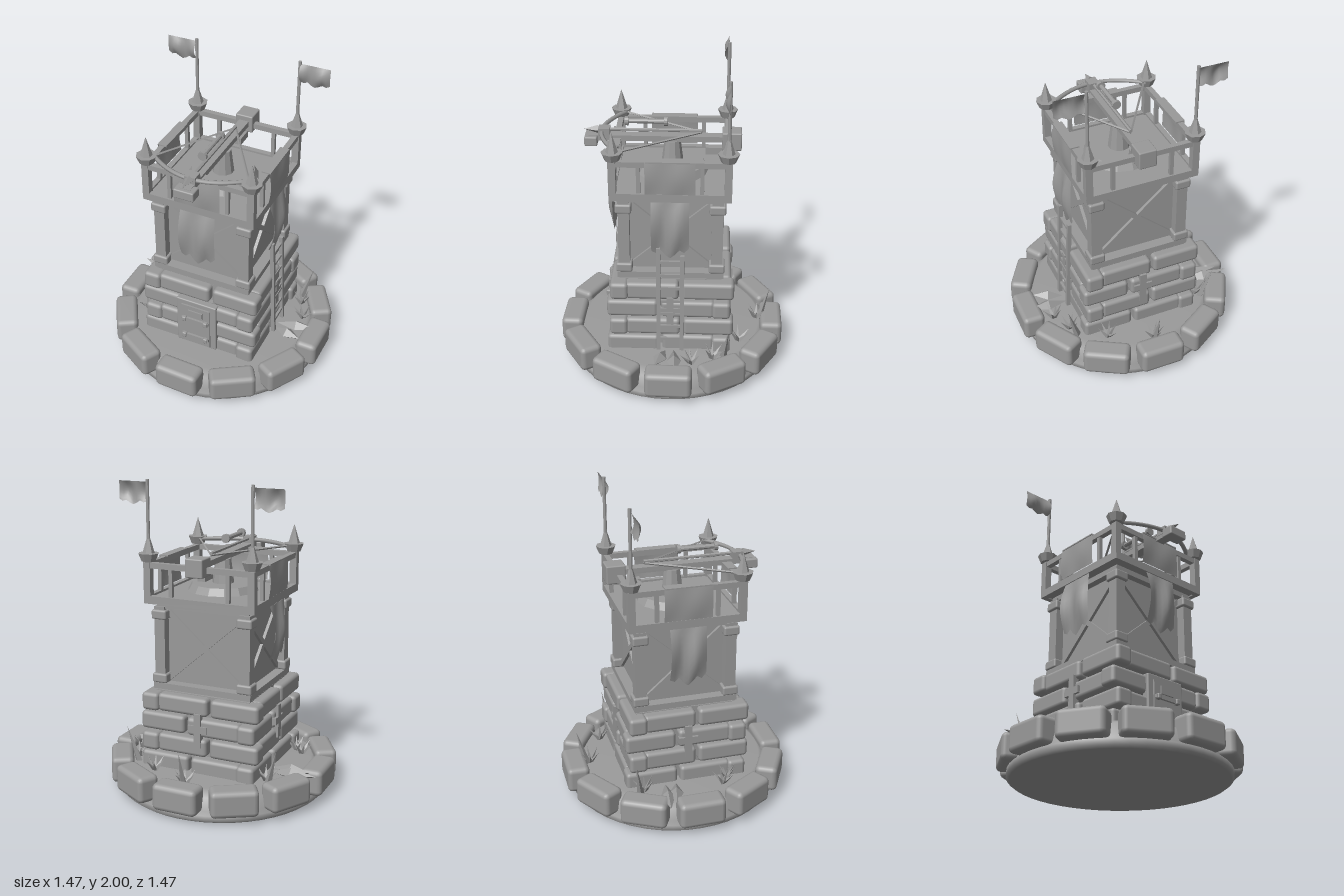
import * as THREE from 'three';
import { RoundedBoxGeometry } from 'three/addons/geometries/RoundedBoxGeometry.js';

const grey = new THREE.MeshStandardMaterial({ color: 0x9a9a9a, side: THREE.DoubleSide });
grey.name = 'stoneGrey';

let seed = 7;
const rnd = () => (seed = (seed * 16807) % 2147483647) / 2147483647;
const jit = (a) => (rnd() - 0.5) * a;

function add(parent, name, geo, x = 0, y = 0, z = 0) {
  const m = new THREE.Mesh(geo, grey);
  m.name = name;
  m.position.set(x, y, z);
  parent.add(m);
  return m;
}
const group = (parent, name) => {
  const g = new THREE.Group();
  g.name = name;
  parent.add(g);
  return g;
};
const flat = (geo) => {
  const g = geo.index ? geo.toNonIndexed() : geo;
  g.computeVertexNormals();
  return g;
};
const box = (p, n, w, h, d, x, y, z) => add(p, n, new THREE.BoxGeometry(w, h, d), x, y, z);
const stone = (p, n, w, h, d, x, y, z, r = 0.02) => add(p, n, new RoundedBoxGeometry(w, h, d, 2, r), x, y, z);
const cyl = (p, n, r1, r2, h, s, x, y, z) => add(p, n, flat(new THREE.CylinderGeometry(r1, r2, h, s)), x, y, z);

// Square or round bar between two points
function bar(p, n, a, b, w, d = w) {
  const va = new THREE.Vector3(...a), vb = new THREE.Vector3(...b);
  const m = add(p, n, new THREE.BoxGeometry(w, va.distanceTo(vb), d));
  m.position.copy(va).add(vb).multiplyScalar(0.5);
  m.quaternion.setFromUnitVectors(new THREE.Vector3(0, 1, 0), vb.sub(va).normalize());
  return m;
}

// Hanging cloth: top edge at y = 0, waved toward +z, ragged bottom edge
function cloth(w, h, bulge, tear) {
  const g = new THREE.PlaneGeometry(w, h, 8, 8);
  const pos = g.attributes.position;
  const rag = [0.3, 0.5, 0.15, 0.7, 1, 0.65, 0.2, 0.45, 0];
  for (let i = 0; i < pos.count; i++) {
    const u = pos.getX(i) / w + 0.5, v = 0.5 - pos.getY(i) / h;
    const edge = h - tear * (1 - rag[Math.round(u * 8)]);
    pos.setXYZ(i, pos.getX(i), -v * edge, bulge * Math.sin(v * Math.PI) * (0.6 + 0.4 * Math.cos(u * 9)));
  }
  g.computeVertexNormals();
  return g;
}

function buildBase(root) {
  const base = group(root, 'base');
  const pts = [[0, 0], [0.66, 0], [0.68, 0.015], [0.68, 0.05], [0.655, 0.07], [0.64, 0.15], [0.58, 0.185], [0, 0.19]];
  add(base, 'groundDisc', new THREE.LatheGeometry(pts.map(([x, y]) => new THREE.Vector2(x, y)), 48));
  for (let i = 0; i < 12; i++) {
    const a = (i * Math.PI) / 6;
    const s = stone(base, 'ringStone', 0.295, 0.17, 0.145, 0.66 * Math.sin(a), 0.142, 0.66 * Math.cos(a), 0.032);
    s.rotation.y = a + jit(0.06);
  }
}

// Interlocked stone courses, mirrored on every other row
function buildStonework(root) {
  const g = group(root, 'stoneWalls');
  box(g, 'wallCore', 0.64, 0.52, 0.64, 0, 0.42, 0);
  for (let row = 0; row < 4; row++) {
    const y = 0.222 + row * 0.132, s = row % 2 ? 1 : -1;
    for (let k = 0; k < 4; k++) {
      const side = group(g, 'stoneCourse');
      side.rotation.y = (k * Math.PI) / 2;
      const split = s * 0.07 + jit(0.04);
      const a = s * 0.4, b = -s * 0.28;
      for (const [p, q] of [[a, split + s * 0.01], [split - s * 0.01, b]])
        stone(side, 'wallStone', Math.abs(p - q), 0.116, 0.115, (p + q) / 2, y, 0.325 + jit(0.012), 0.024);
    }
  }
  // Cross-shaped slits on the three walls without a door
  for (let k = 1; k < 4; k++) {
    const slit = group(g, 'crossSlit');
    slit.rotation.y = (k * Math.PI) / 2;
    box(slit, 'slitUpright', 0.045, 0.22, 0.04, 0, 0.47, 0.375);
    box(slit, 'slitBar', 0.125, 0.045, 0.04, 0, 0.48, 0.375);
  }
}

function buildDoor(root) {
  const d = group(root, 'door');
  stone(d, 'doorFrame', 0.28, 0.36, 0.05, -0.005, 0.37, 0.375, 0.008);
  box(d, 'doorPanel', 0.2, 0.31, 0.02, -0.005, 0.36, 0.4);
  box(d, 'doorHatch', 0.1, 0.05, 0.012, -0.005, 0.46, 0.413);
  for (const y of [0.27, 0.41]) {
    box(d, 'doorStrap', 0.19, 0.022, 0.02, -0.005, y, 0.415);
    for (const x of [-0.08, 0.07]) stone(d, 'strapKnob', 0.03, 0.036, 0.03, x, y, 0.42, 0.008);
  }
}

function buildTimber(root) {
  const g = group(root, 'timberStorey');
  box(g, 'innerWalls', 0.53, 0.54, 0.53, 0, 0.97, 0);
  box(g, 'footBeam', 0.66, 0.04, 0.66, 0, 0.71, 0);
  box(g, 'headBeam', 0.62, 0.035, 0.62, 0, 1.225, 0);
  for (const x of [-1, 1]) for (const z of [-1, 1]) {
    box(g, 'cornerPost', 0.07, 0.5, 0.07, x * 0.287, 0.97, z * 0.287);
    for (const y of [0.76, 1.17]) stone(g, 'postCollar', 0.1, 0.06, 0.1, x * 0.287, y, z * 0.287, 0.012);
  }
  for (let k = 0; k < 4; k++) {
    const s = group(g, 'crossBrace');
    s.rotation.y = (k * Math.PI) / 2;
    for (const m of [-1, 1]) bar(s, 'brace', [-m * 0.25, 0.75, 0.272], [m * 0.25, 1.19, 0.272], 0.032, 0.025);
  }
}

function buildPlatform(root) {
  const g = group(root, 'platform');
  box(g, 'floor', 0.69, 0.03, 0.69, 0, 1.265, 0);
  for (let k = 0; k < 4; k++) {
    const s = group(g, 'railing');
    s.rotation.y = (k * Math.PI) / 2;
    box(s, 'floorEdge', 0.73, 0.05, 0.035, 0, 1.268, 0.35);
    box(s, 'topRail', 0.68, 0.035, 0.035, 0, 1.482, 0.345);
    box(s, 'cornerUpright', 0.045, 0.22, 0.045, 0.345, 1.39, 0.345);
    for (const x of [-0.19, 0.19]) box(s, 'railPost', 0.024, 0.19, 0.024, x, 1.38, 0.345);
  }
  // Corner cups with spikes; the two at the back carry flags
  for (const x of [-1, 1]) for (const z of [-1, 1]) {
    const c = group(g, 'cornerFinial');
    c.position.set(x * 0.342, 0, z * 0.342);
    cyl(c, 'cup', 0.065, 0.045, 0.05, 8, 0, 1.53, 0);
    cyl(c, 'spike', 0, 0.038, 0.125, 6, 0, 1.617, 0);
    if (z > 0) continue;
    cyl(c, 'flagPole', 0.011, 0.011, 0.44, 8, 0, 1.78, 0);
    const f = add(c, 'flag', cloth(0.19, 0.14, 0.03, 0.03), x * 0.1, 1.985, 0);
    f.scale.x = x;
  }
  // Cloth over the rail and a long banner on front and both sides
  for (const k of [-1, 0, 1]) {
    const s = group(g, 'bannerSet');
    s.rotation.y = (k * Math.PI) / 2;
    add(s, 'railCloth', cloth(0.3, 0.21, 0.012, 0), 0, 1.505, 0.37);
    box(s, 'railClothFold', 0.29, 0.008, 0.06, 0, 1.503, 0.345);
    add(s, 'banner', cloth(0.23, 0.385, 0.04, 0.07), 0, 1.24, 0.365);
  }
}

function buildLadder(root) {
  const g = group(root, 'ladder');
  for (const [z, top] of [[0.073, 0.93], [-0.075, 0.88]])
    bar(g, 'ladderRail', [0.405, 0.2, z], [0.375, top, z], 0.025);
  for (let i = 0; i < 7; i++) box(g, 'rung', 0.016, 0.018, 0.17, 0.4 - i * 0.004, 0.28 + i * 0.092, 0);
}

function buildBallista(root) {
  const g = group(root, 'ballista');
  cyl(g, 'turntable', 0.2, 0.225, 0.045, 14, 0, 1.315, 0);
  cyl(g, 'pivot', 0.05, 0.07, 0.16, 10, 0, 1.41, 0);
  box(g, 'stock', 0.065, 0.035, 0.9, 0, 1.505, 0.065);
  stone(g, 'rearBlock', 0.115, 0.115, 0.12, 0, 1.5, -0.365, 0.008);
  box(g, 'rearHandle', 0.05, 0.045, 0.11, 0, 1.425, -0.26);
  stone(g, 'frontBlock', 0.13, 0.06, 0.08, 0, 1.49, 0.5, 0.008);
  box(g, 'bowMount', 0.07, 0.05, 0.07, 0, 1.54, 0.42);
  const arc = new THREE.QuadraticBezierCurve3(
    new THREE.Vector3(-0.32, 1.54, 0.3), new THREE.Vector3(0, 1.54, 0.57), new THREE.Vector3(0.32, 1.54, 0.3));
  add(g, 'bow', new THREE.TubeGeometry(arc, 20, 0.014, 6));
  for (const x of [-1, 1]) bar(g, 'bowString', [0, 1.54, -0.18], [x * 0.31, 1.54, 0.31], 0.01);
  // Bolt with a pointed head
  const shaft = cyl(g, 'boltShaft', 0.011, 0.011, 0.64, 6, 0, 1.55, 0.14);
  const head = cyl(g, 'boltHead', 0, 0.028, 0.09, 4, 0, 1.55, 0.5);
  // Roller above the stock
  const roll = cyl(g, 'roller', 0.015, 0.015, 0.24, 10, 0, 1.608, 0.16);
  const ends = [0.04, 0.28].map((z) => cyl(g, 'rollerEnd', 0.028, 0.028, 0.022, 12, 0, 1.608, z));
  for (const m of [shaft, head, roll, ...ends]) m.rotation.x = Math.PI / 2;
}

function buildPlants(root) {
  const g = group(root, 'groundDetails');
  const tufts = [[0, -0.56], [0.27, -0.44], [0.47, -0.27], [0.53, -0.14], [-0.43, -0.3], [-0.48, 0.2], [-0.43, 0.24]];
  for (const [x, z] of tufts) {
    const t = group(g, 'grassTuft');
    t.position.set(x, 0.18, z);
    for (let i = 0; i < 6; i++) {
      const a = i * 1.05 + jit(0.5), r = 0.045 + rnd() * 0.03;
      const geo = flat(new THREE.ConeGeometry(0.016, 0.11, 3).translate(0, 0.055, 0));
      const blade = add(t, 'grassBlade', geo);
      blade.quaternion.setFromUnitVectors(new THREE.Vector3(0, 1, 0),
        new THREE.Vector3(r * Math.cos(a), 0.08, r * Math.sin(a)).normalize());
    }
  }
  // Tall leaning spikes
  for (const [x, z, dx, dz] of [[0, -0.58, 0, -0.065], [0.44, -0.34, 0.07, -0.03], [-0.45, -0.33, -0.07, -0.04]]) {
    const s = add(g, 'tallSpike', flat(new THREE.ConeGeometry(0.025, 0.26, 4).translate(0, 0.13, 0)), x, 0.17, z);
    s.quaternion.setFromUnitVectors(new THREE.Vector3(0, 1, 0), new THREE.Vector3(dx, 0.25, dz).normalize());
  }
  // Flat stone shards at both sides
  for (const [x, z, a, l] of [[-0.55, -0.18, -0.15, 0.17], [-0.53, -0.12, -0.25, 0.14], [0.53, -0.03, 0.05, 0.14], [0.5, 0.06, -0.3, 0.1]]) {
    const s = add(g, 'shard', flat(new THREE.OctahedronGeometry(1)), x, 0.2, z);
    s.scale.set(l, 0.04, 0.045);
    s.rotation.y = a;
    s.rotation.z = x < 0 ? -0.12 : 0.12;
  }
}

export function createModel() {
  const root = new THREE.Group();
  root.name = 'watchtower';
  [buildBase, buildStonework, buildDoor, buildTimber, buildPlatform, buildLadder, buildBallista, buildPlants].forEach((f) => f(root));
  return root;
}
